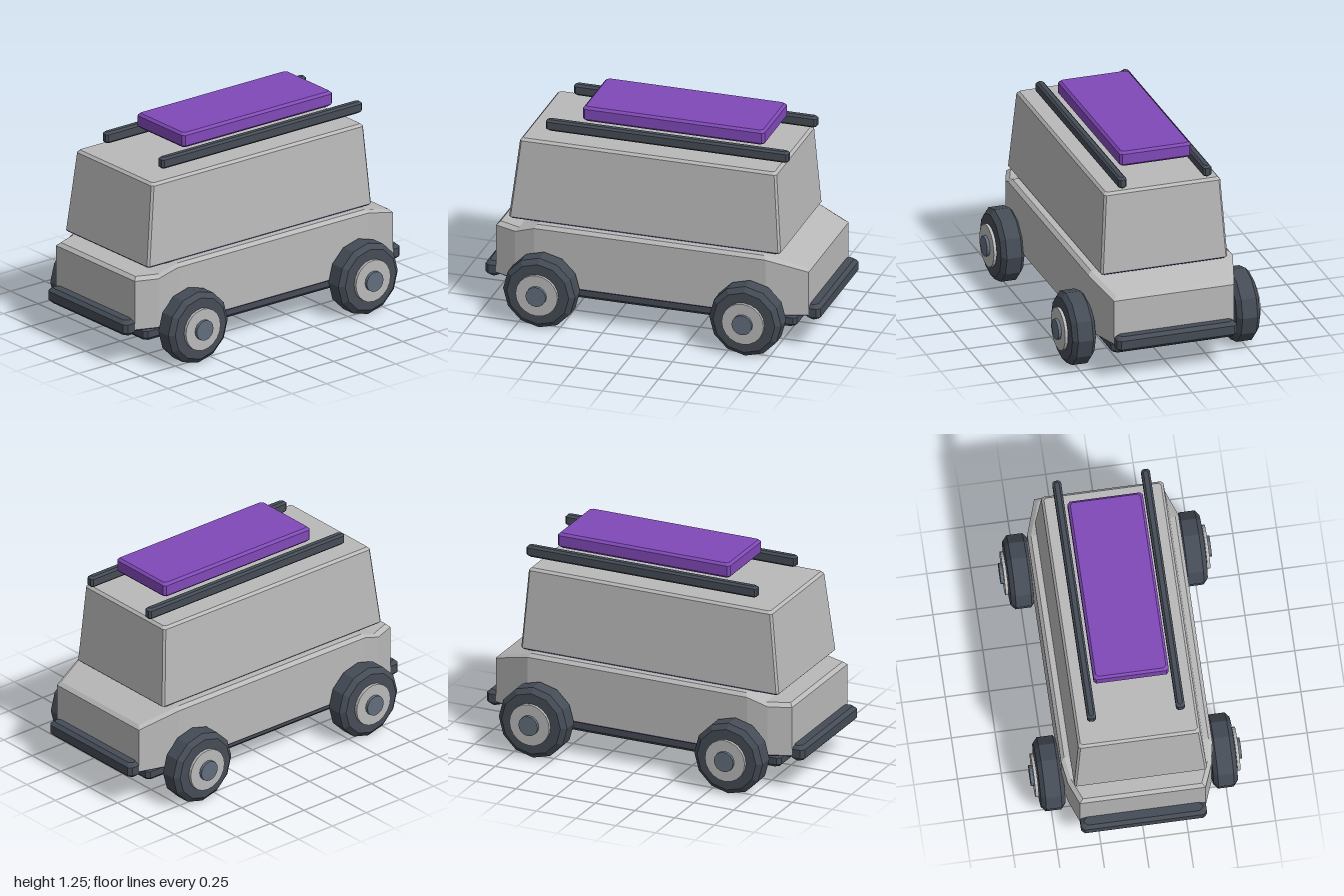
import * as THREE from 'three';

const mat = (name, color, flatShading = true) => {
  const m = new THREE.MeshStandardMaterial({ color, flatShading });
  m.name = name;
  return m;
};

// Plan outline from [x, halfWidth] stations: +z side forward, then -z side back.
const outline = (stations, y, inset = 0) => {
  const end = Math.max(...stations.map((s) => Math.abs(s[0])));
  const side = stations.map(([x, z, top]) => [
    x * (1 - inset / end), y === null ? top : top === undefined ? y : y > 0 ? y : top + y, z - inset]);
  return [...side, ...side.slice().reverse().map(([x, h, z]) => [x, h, -z])];
};

// Skin stacked rings; material 0 covers the underside and lowest band, 1 the rest.
function stack(rings) {
  const pos = [];
  const quad = (a, b, c, d) => pos.push(...a, ...b, ...c, ...a, ...c, ...d);
  const n = rings[0].length;
  const cap = (r, up) => {
    for (let i = 0; i < n / 2 - 1; i++) {
      const q = [r[i], r[i + 1], r[n - 2 - i], r[n - 1 - i]];
      quad(...(up ? q : q.reverse()));
    }
  };
  cap(rings[0], false);
  let split = 0;
  for (let k = 0; k < rings.length - 1; k++) {
    for (let i = 0; i < n; i++) {
      const j = (i + 1) % n;
      quad(rings[k][i], rings[k][j], rings[k + 1][j], rings[k + 1][i]);
    }
    if (k === 0) split = pos.length / 3;
  }
  cap(rings[rings.length - 1], true);
  const g = new THREE.BufferGeometry();
  g.setAttribute('position', new THREE.Float32BufferAttribute(pos, 3));
  g.addGroup(0, split, 0);
  g.addGroup(split, pos.length / 3 - split, 1);
  g.computeVertexNormals();
  return g;
}

// Octagonal plan: a rectangle with clipped corners.
const clipped = (x0, x1, z, c) => [[x0, z - c], [x0 + c, z], [x1 - c, z], [x1, z - c]];

// Box with every edge chamfered.
function chamferBox(w, h, d, c) {
  const plan = clipped(-w / 2, w / 2, d / 2, c);
  const g = stack([[0, c], [c, 0], [h - c, 0], [h, c]].map(([y, inset]) =>
    outline(plan.map(([x, z]) => [
      x - Math.sign(x) * inset, z - inset]), y)));
  g.clearGroups();
  return g.translate(0, -h / 2, 0);
}

export function createModel() {
  const paint = mat('body grey', 0xb9b9b9);
  const dark = mat('dark trim', 0x454c56);
  const purple = mat('purple accent', 0x8049b8);
  const steel = mat('hub cap slate', 0x626e7c);

  const model = new THREE.Group();
  model.name = 'van';
  const add = (name, geometry, material, x = 0, y = 0, z = 0, parent = model) => {
    const m = new THREE.Mesh(geometry, material);
    m.name = name;
    m.position.set(x, y, z);
    parent.add(m);
    return m;
  };

  // Lower body: tapered ends, sloping nose, purple underside
  const hull = [
    [-0.93, 0.36, 0.54], [-0.8, 0.41, 0.54], [-0.68, 0.433, 0.585],
    [0.7, 0.433, 0.585], [0.935, 0.36, 0.512],
  ];
  add('lowerBody', stack([
    outline(hull, 0.216, 0.01), outline(hull, 0.226),
    outline(hull, -0.02), outline(hull, null, 0.02),
  ]), [purple, paint]);

  // Cabin: leans inward toward the roof, purple lower lip
  add('cabin', stack([
    outline(clipped(-0.84, 0.76, 0.37, 0.012), 0.583),
    outline(clipped(-0.85, 0.77, 0.38, 0.012), 0.593),
    outline(clipped(-0.795, 0.737, 0.349, 0.012), 1.06),
    outline(clipped(-0.78, 0.722, 0.335, 0.012), 1.075),
  ]), [purple, paint]);

  // Roof box, skid plate, rails and bumpers
  add('roofBox', chamferBox(1.085, 0.09, 0.43, 0.014), purple, 0.078, 1.215);
  add('skidPlate', chamferBox(1.7, 0.08, 0.69, 0.02), dark, 0.005, 0.165);
  for (const s of [1, -1]) {
    add(s > 0 ? 'leftRoofRail' : 'rightRoofRail',
      chamferBox(1.45, 0.068, 0.05, 0.012), dark, 0.06, 1.143, s * 0.254);
    add(s > 0 ? 'noseBumper' : 'tailBumper',
      chamferBox(0.09, 0.092, 0.72, 0.02), dark, s * 0.955, 0.24);
  }

  // Wheels: faceted tyre, hub disc and cap
  const tyre = new THREE.LatheGeometry([
    [0, -0.07], [0.185, -0.07], [0.215, -0.045], [0.215, 0.045], [0.185, 0.07], [0, 0.07],
  ].map(([r, y]) => new THREE.Vector2(r, y)), 12).rotateX(Math.PI / 2);
  const hub = new THREE.CylinderGeometry(0.125, 0.125, 0.018, 20).rotateX(Math.PI / 2);
  const hubCap = new THREE.CylinderGeometry(0.06, 0.06, 0.045, 16).rotateX(Math.PI / 2);
  for (const x of [-0.615, 0.615]) {
    for (const s of [1, -1]) {
      const wheel = new THREE.Group();
      wheel.name = 'wheel';
      wheel.position.set(x, 0.22, s * 0.493);
      add('tyre', tyre, dark, 0, 0, 0, wheel);
      add('hub', hub, paint, 0, 0, s * 0.084, wheel);
      add('hubCap', hubCap, steel, 0, 0, s * 0.088, wheel);
      model.add(wheel);
    }
  }
  return model;
}
